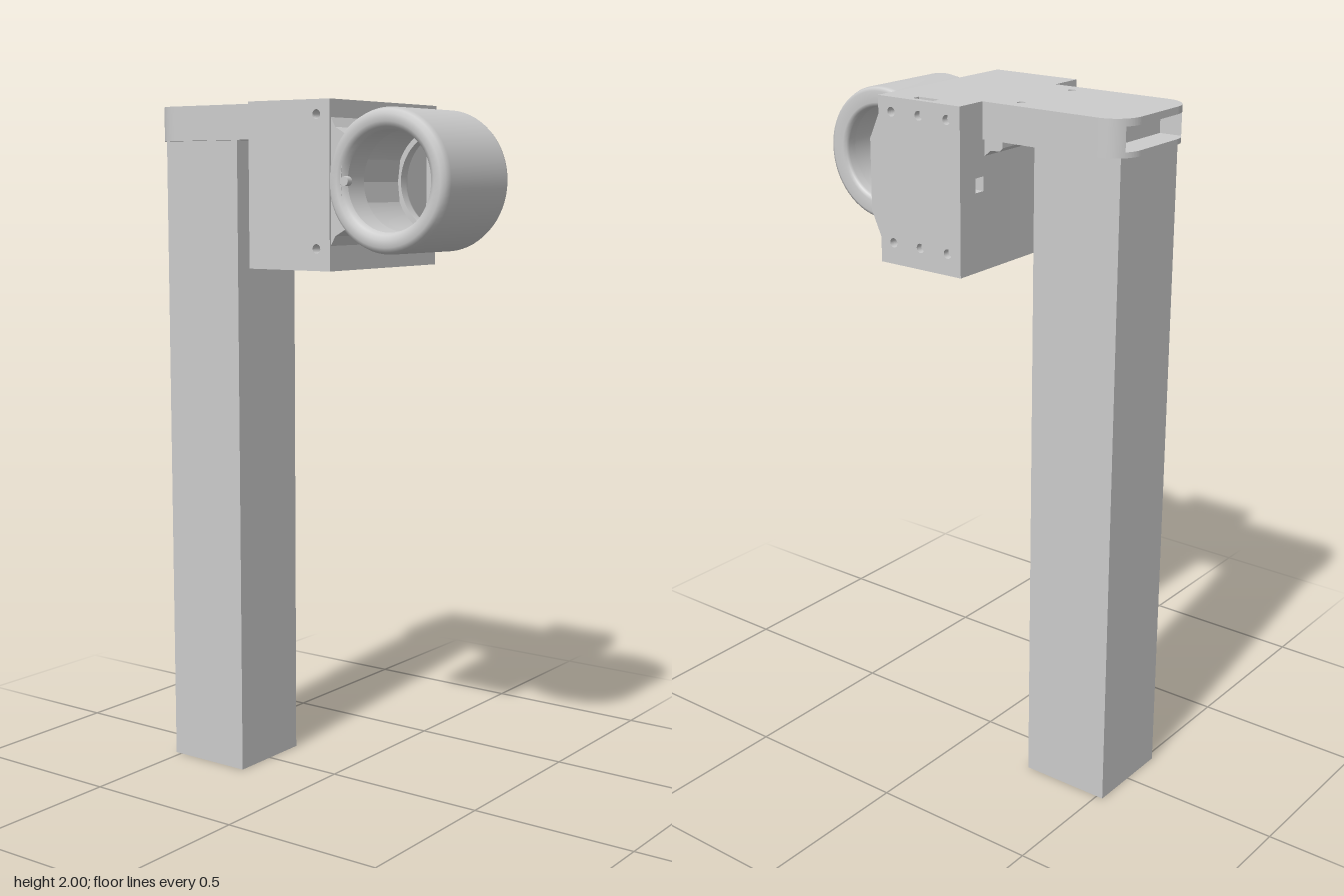
import * as THREE from 'three';

const grey = new THREE.MeshStandardMaterial({ color: 0xcccccc });

function polygon(points) {
  return new THREE.Shape(points.map(([x, y]) => new THREE.Vector2(x, y)));
}

function rect(x0, x1, y0, y1) {
  return polygon([[x0, y0], [x1, y0], [x1, y1], [x0, y1]]);
}

function drill(shape, centres, r) {
  for (const [x, y] of centres) {
    shape.holes.push(new THREE.Path().absarc(x, y, r, 0, Math.PI * 2, true));
  }
  return shape;
}

// Front outline extruded from z0 to z1
function slabZ(shape, z0, z1) {
  const g = new THREE.ExtrudeGeometry(shape, { depth: z1 - z0, bevelEnabled: false, curveSegments: 16 });
  return g.translate(0, 0, z0);
}

// Plan outline (x, -z) extruded from y0 to y1
function slabY(shape, y0, y1) {
  const g = new THREE.ExtrudeGeometry(shape, { depth: y1 - y0, bevelEnabled: false, curveSegments: 12 });
  return g.rotateX(-Math.PI / 2).translate(0, y0, 0);
}

export function createModel() {
  const model = new THREE.Group();
  const add = (name, geometry, parent = model) => {
    const mesh = new THREE.Mesh(geometry, grey);
    mesh.name = name;
    parent.add(mesh);
    return mesh;
  };
  const group = (name) => {
    const g = new THREE.Group();
    g.name = name;
    model.add(g);
    return g;
  };

  // Square post
  add('post', new THREE.BoxGeometry(0.27, 1.905, 0.27).translate(-0.385, 0.9525, 0));

  // Plate on the post: rounded outer corners, a slot in its end, two screw holes
  const plate = group('topPlate');
  const plan = (slotted) => {
    const s = new THREE.Shape();
    const [x0, x1, a, b, r] = [-0.55, -0.1, -0.16, 0.17, 0.08];
    s.moveTo(x1, a);
    s.lineTo(x1, b);
    s.lineTo(x0 + r, b);
    s.absarc(x0 + r, b - r, r, Math.PI / 2, slotted ? Math.PI * 0.8 : Math.PI, false);
    if (slotted) {
      s.lineTo(-0.47, 0.135);
      s.lineTo(-0.47, -0.125);
    }
    s.absarc(x0 + r, a + r, r, slotted ? Math.PI * 1.2 : Math.PI, Math.PI * 1.5, false);
    s.closePath();
    return drill(s, [[-0.195, 0.12], [-0.195, -0.11]], 0.011);
  };
  add('plateBottom', slabY(plan(false), 1.9, 1.915), plate);
  add('plateMiddle', slabY(plan(true), 1.915, 1.98), plate);
  add('plateTop', slabY(plan(false), 1.98, 2), plate);

  // Small bracket under the plate
  add('underBracket', slabZ(polygon([
    [-0.165, 1.9], [-0.165, 1.882], [-0.155, 1.872], [-0.125, 1.87], [-0.1, 1.85], [-0.1, 1.9],
  ]), -0.16, 0.15));

  // Housing block in layers: screw holes, cable slots and a cross hole
  const housing = group('housing');
  const [L, R, B, T] = [-0.105, 0.175, 1.54, 2];
  const through = [[0.13, 1.96], [0.13, 1.6]];
  const blind = [[-0.06, 1.96], [-0.06, 1.6], [0.035, 1.96], [0.035, 1.6]];
  const full = () => drill(rect(L, R, B, T), through, 0.013);
  const notched = drill(polygon([
    [L, B], [0, B], [0, B + 0.03], [0.07, B + 0.03], [0.07, B], [R, B],
    [R, T], [0.07, T], [0.07, T - 0.03], [0, T - 0.03], [0, T], [L, T],
  ]), through, 0.013);
  add('housingBack', slabZ(drill(full(), blind, 0.013), -0.265, -0.245), housing);
  add('slotLayer', slabZ(notched, -0.245, -0.22), housing);
  add('housingRear', slabZ(full(), -0.22, -0.2), housing);
  add('crossHoleTop', slabZ(drill(rect(L, R, 1.8, T), [through[0]], 0.013), -0.2, -0.165), housing);
  add('crossHoleBottom', slabZ(drill(rect(L, R, B, 1.76), [through[1]], 0.013), -0.2, -0.165), housing);
  add('housingFront', slabZ(full(), -0.165, 0.26), housing);

  // Neck flaring from the housing to the ring, with the rear blocks beside it
  const neck = group('neck');
  add('neckWedge', slabZ(polygon([
    [0.17, 1.6], [0.19, 1.635], [0.235, 1.66], [0.214, 1.72], [0.207, 1.78],
    [0.214, 1.84], [0.235, 1.9], [0.19, 1.925], [0.17, 1.96],
  ]), -0.055, 0.255), neck);
  add('clampBlock', slabZ(rect(0.17, 0.208, 1.65, 1.86), -0.165, -0.05), neck);
  add('rearFlange', slabZ(polygon([
    [0.17, 1.6], [0.207, 1.68], [0.207, 1.88], [0.17, 1.96],
  ]), -0.265, -0.215), neck);

  // Ring with rounded rims and a wider bore behind the front lip
  const profile = [
    [0.135, 0.235], [0.142, 0.252], [0.155, 0.26], [0.175, 0.26], [0.187, 0.252], [0.193, 0.235],
    [0.193, -0.045], [0.189, -0.056], [0.18, -0.06], [0.147, -0.06], [0.137, -0.055], [0.135, -0.045],
    [0.135, -0.02], [0.135, -0.02], [0.15, -0.02], [0.15, -0.02],
    [0.15, 0.16], [0.15, 0.16], [0.135, 0.16], [0.135, 0.16], [0.135, 0.235],
  ].reverse().map(([r, z]) => new THREE.Vector2(r, z));
  const ring = add('ring', new THREE.LatheGeometry(profile, 64).rotateX(Math.PI / 2));
  ring.position.set(0.352, 1.782, 0);
  ring.material = grey.clone();
  ring.material.side = THREE.DoubleSide;

  // Set screw at the root of the ring
  add('setScrew', new THREE.CylinderGeometry(0.013, 0.013, 0.02, 16)
    .rotateX(Math.PI / 2).translate(0.222, 1.782, 0.25));

  return model;
}
